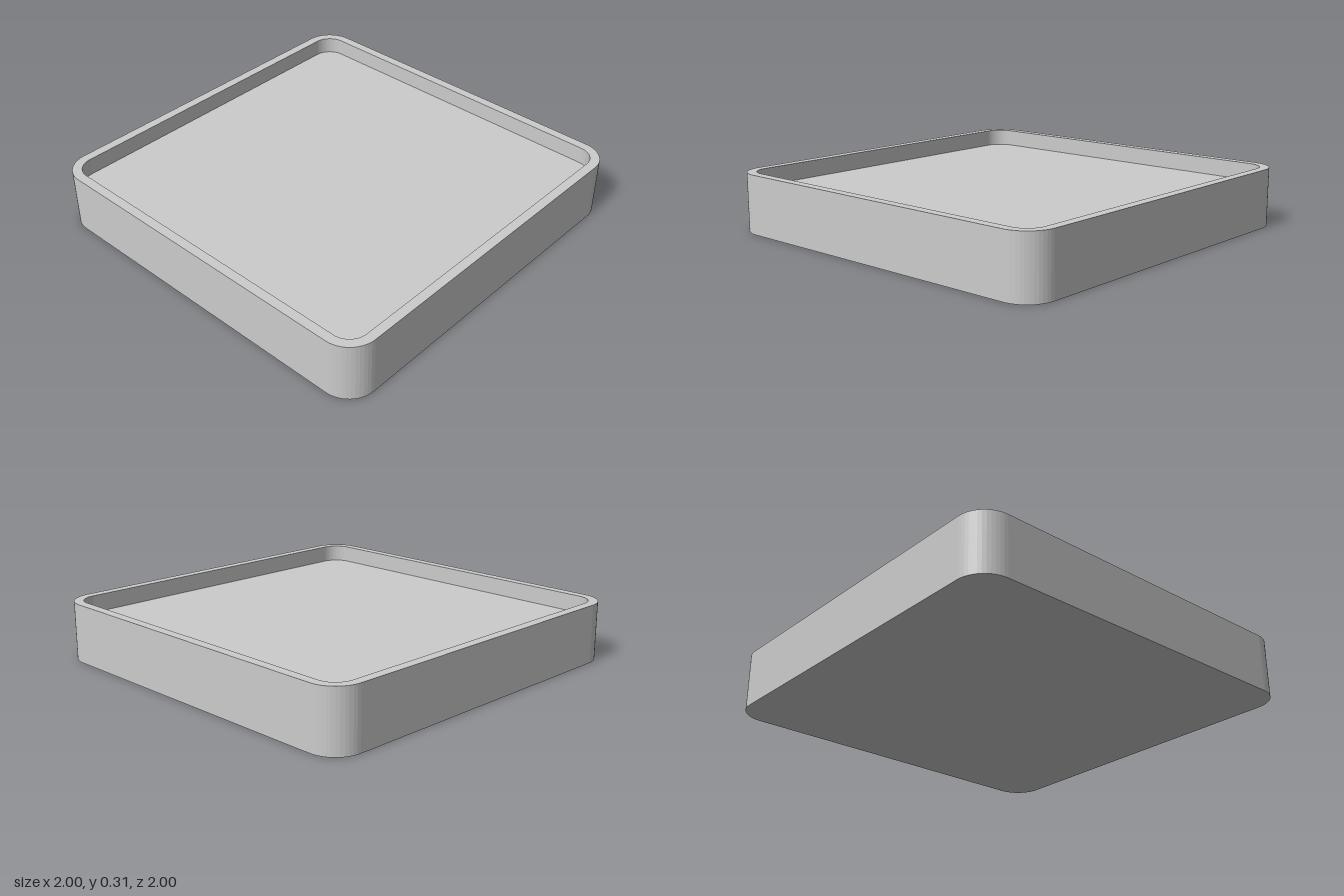
import * as THREE from 'three';

const HEIGHT = 0.31, FLOOR = 0.22, RIM = 0.05, RADIUS = 0.15, CORNER_STEPS = 12;

// Rounded square loop at height y, inset from the outer edge
function loop(inset, y) {
  const r = RADIUS - inset, c = 1 - RADIUS, points = [];
  for (let corner = 0; corner < 4; corner++) {
    const mid = (corner + 0.5) * Math.PI / 2;
    const cx = c * Math.sign(Math.cos(mid)), cz = c * Math.sign(Math.sin(mid));
    for (let i = 0; i <= CORNER_STEPS; i++) {
      const a = (corner + i / CORNER_STEPS) * Math.PI / 2;
      points.push(new THREE.Vector3(cx + r * Math.cos(a), y, cz + r * Math.sin(a)));
    }
  }
  return points;
}

// Closed shell through the loops, capped by a fan at both ends
function shell(loops, startY, endY) {
  const corners = [], n = loops[0].length;
  const first = loops[0], last = loops[loops.length - 1];
  const start = new THREE.Vector3(0, startY, 0), end = new THREE.Vector3(0, endY, 0);
  for (let i = 0; i < n; i++) {
    const j = (i + 1) % n;
    corners.push(start, first[i], first[j]);
    for (let k = 0; k < loops.length - 1; k++) {
      const a = loops[k], b = loops[k + 1];
      corners.push(a[i], b[i], b[j], a[i], b[j], a[j]);
    }
    corners.push(last[i], end, last[j]);
  }
  const geometry = new THREE.BufferGeometry().setFromPoints(corners);
  geometry.computeVertexNormals(); // unshared corners keep every facet crisp
  return geometry;
}

export function createModel() {
  const group = new THREE.Group();
  group.name = 'squareTray';

  // Underside, outer wall, rim, inner wall and recessed floor in one solid
  const profile = [
    loop(0, 0),
    loop(0, HEIGHT),
    loop(RIM, HEIGHT),
    loop(RIM, FLOOR),
  ];
  const tray = new THREE.Mesh(
    shell(profile, 0, FLOOR),
    new THREE.MeshStandardMaterial({ color: 0xcccccc, flatShading: true })
  );
  tray.name = 'tray';
  group.add(tray);
  return group;
}
